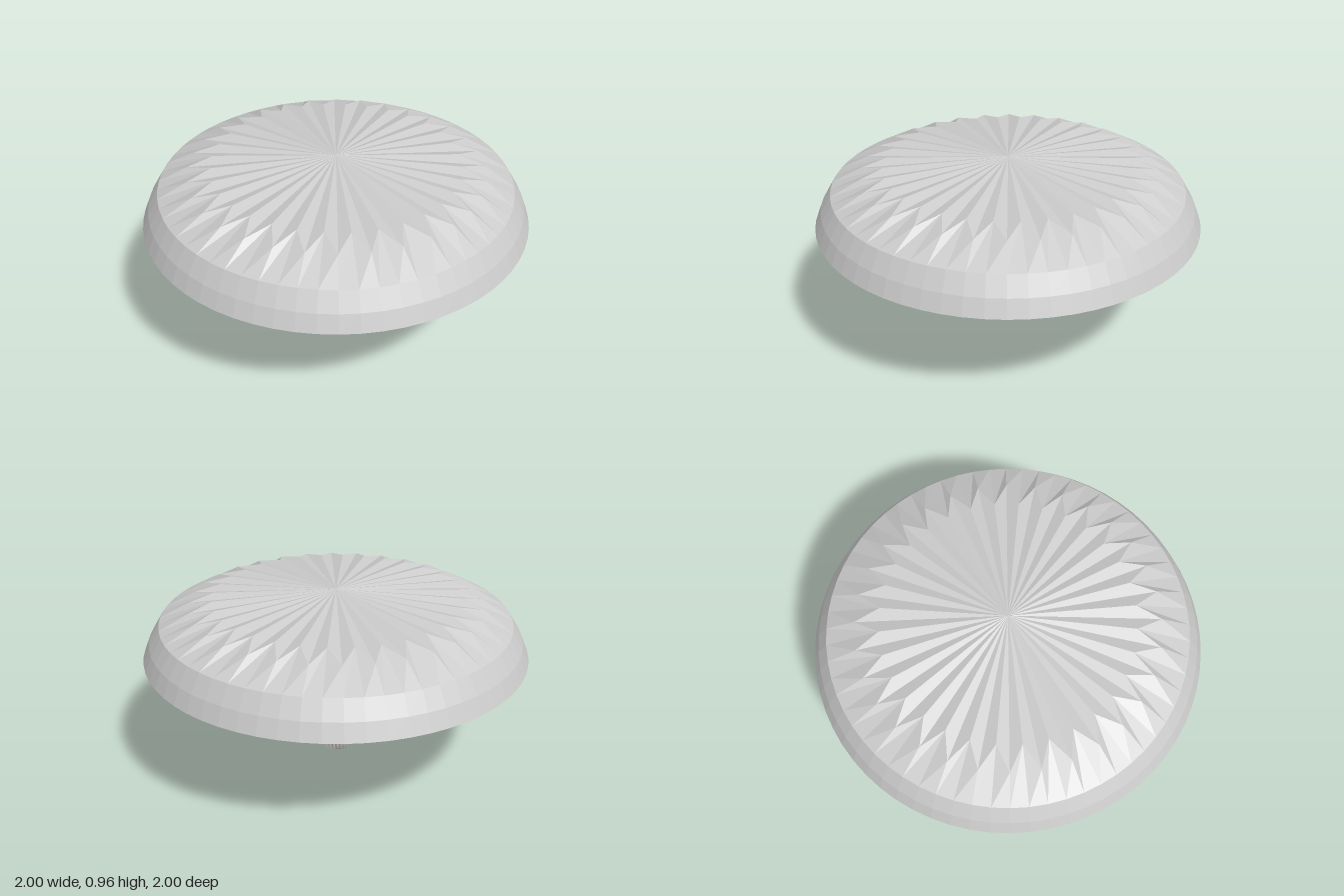
import * as THREE from 'three';

const SIDES = 64;
const material = new THREE.MeshStandardMaterial({ color: 0xcccccc, flatShading: true, side: THREE.DoubleSide });

// Skins rings listed from bottom to top. A ring is [radius, y] or, for a
// zigzag ring, [radius, y, oddRadius, oddY] alternating around the axis.
function ringPart(name, rings) {
  const point = ([r, y, oddR = r, oddY = y], i) => {
    const a = (i / SIDES) * Math.PI * 2;
    const radius = i % 2 ? oddR : r;
    return [radius * Math.sin(a), i % 2 ? oddY : y, radius * Math.cos(a)];
  };
  const positions = [];
  for (let k = 0; k < rings.length - 1; k++) {
    const low = rings[k], high = rings[k + 1];
    for (let i = 0; i < SIDES; i++) {
      const a = point(low, i), b = point(low, i + 1);
      const c = point(high, i + 1), d = point(high, i);
      if (low[0] > 0) positions.push(...a, ...b, ...c);
      if (high[0] > 0) positions.push(...a, ...c, ...d);
    }
  }
  const geometry = new THREE.BufferGeometry();
  geometry.setAttribute('position', new THREE.Float32BufferAttribute(positions, 3));
  geometry.computeVertexNormals();
  const mesh = new THREE.Mesh(geometry, material);
  mesh.name = name;
  return mesh;
}

export function createModel() {
  const group = new THREE.Group();
  group.name = 'spinningTop';
  group.add(
    // Pointed foot with fine flutes
    ringPart('flutedTip', [[0, 0.005], [0.105, 0.09, 0.083, 0.055], [0.145, 0.205]]),
    // Tapering neck
    ringPart('stem', [[0.145, 0.205], [0.225, 0.38]]),
    // Flared underside
    ringPart('underside', [[0.225, 0.38], [0.37, 0.485], [0.56, 0.55], [0.94, 0.625], [1, 0.645]]),
    // Sloping outer band
    ringPart('rimBand', [[1, 0.645], [0.965, 0.73], [0.91, 0.82]]),
    // Faceted dome with a star-shaped crown
    ringPart('crown', [[0.91, 0.82], [0.76, 0.9, 0.635, 0.93], [0, 0.965]])
  );
  return group;
}
